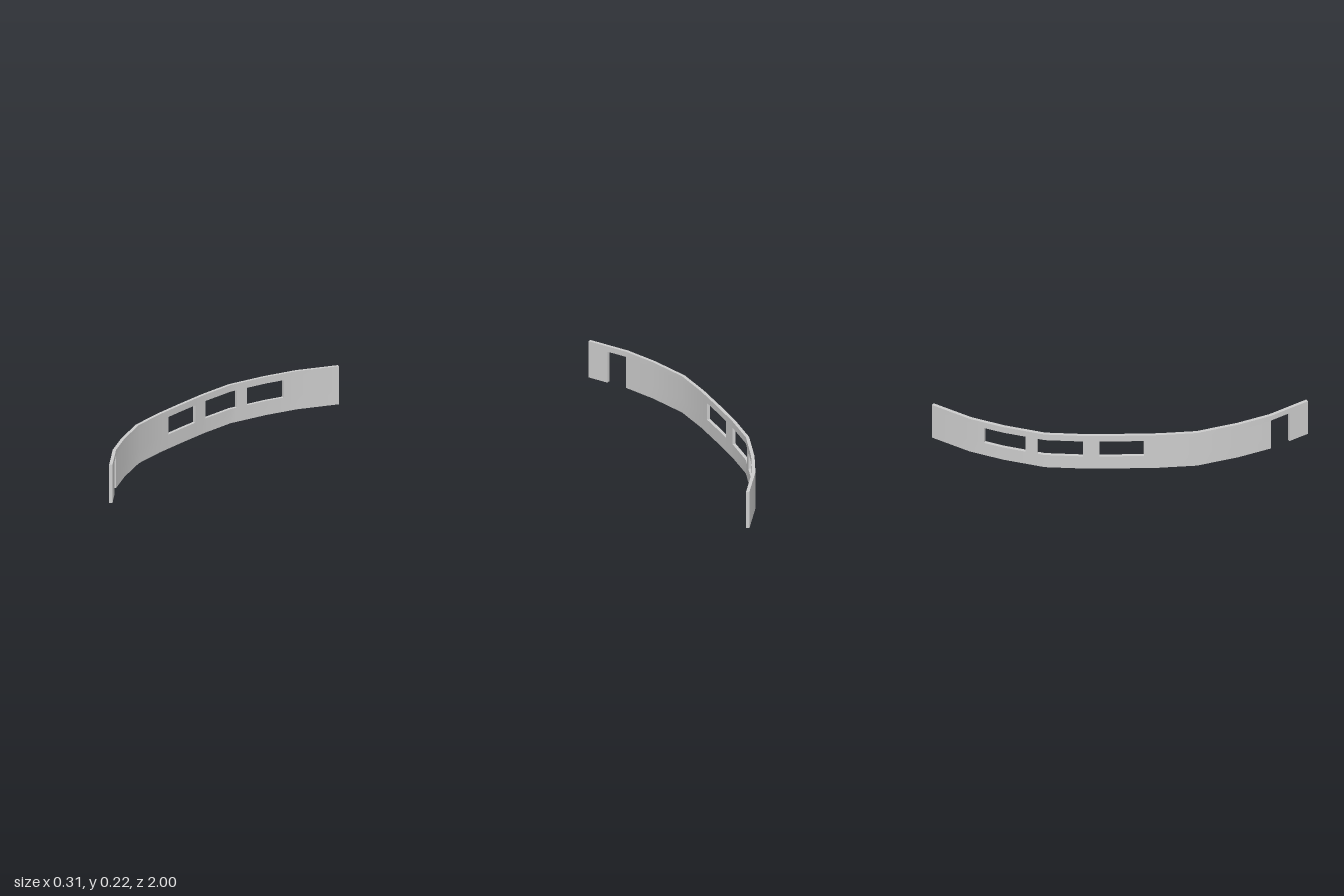
import * as THREE from 'three';
import { toCreasedNormals } from 'three/addons/utils/BufferGeometryUtils.js';

const THICK = 0.018;
// Half plan of the outer face as [x, z], mirrored in z
const HALF = [[-0.153, 0.2], [-0.137, 0.405], [-0.066, 0.625], [0.01, 0.8], [0.139, 1]];
const PLAN = [...HALF.map(([x, z]) => [x, -z]).reverse(), [-0.155, 0], ...HALF];
// Openings: z from, z to, y from, y to
const OPENINGS = [
  [0.8, 0.9, 0, 0.184],
  [-0.115, 0.122, 0.08, 0.178],
  [-0.445, -0.202, 0.08, 0.178],
  [-0.725, -0.507, 0.08, 0.178],
];
const LEVELS = [0, 0.08, 0.178, 0.184, 0.215];

// Mitred inner face, parallel to the plan
function innerPlan() {
  const normal = (a, b) => {
    const dx = b[0] - a[0], dz = b[1] - a[1], l = Math.hypot(dx, dz);
    return [dz / l, -dx / l];
  };
  return PLAN.map((p, i) => {
    const n1 = normal(PLAN[Math.max(i - 1, 0)], PLAN[Math.max(i, 1)]);
    const last = PLAN.length - 1;
    const n2 = normal(PLAN[Math.min(i, last - 1)], PLAN[Math.min(i + 1, last)]);
    const k = THICK / (1 + n1[0] * n2[0] + n1[1] * n2[1]);
    return [p[0] + (n1[0] + n2[0]) * k, p[1] + (n1[1] + n2[1]) * k];
  });
}

function wallGeometry() {
  const inner = innerPlan();
  // Stations at every bend and every opening edge
  const zs = [...new Set([...PLAN.map(p => p[1]), ...OPENINGS.flatMap(o => [o[0], o[1]])])]
    .sort((a, b) => a - b);
  const stations = zs.map(z => {
    let i = 0;
    while (i < PLAN.length - 2 && PLAN[i + 1][1] < z) i++;
    const t = (z - PLAN[i][1]) / (PLAN[i + 1][1] - PLAN[i][1]);
    const mix = line => [0, 1].map(k => line[i][k] + (line[i + 1][k] - line[i][k]) * t);
    return { out: mix(PLAN), inn: mix(inner) };
  });

  const solid = (i, j) => {
    if (i < 0 || j < 0 || i >= zs.length - 1 || j >= LEVELS.length - 1) return false;
    const z = (zs[i] + zs[i + 1]) / 2, y = (LEVELS[j] + LEVELS[j + 1]) / 2;
    return !OPENINGS.some(o => z > o[0] && z < o[1] && y > o[2] && y < o[3]);
  };

  const pos = [];
  const quad = (a, b, c, d) => pos.push(...a, ...b, ...c, ...a, ...c, ...d);
  for (let i = 0; i < zs.length - 1; i++) {
    for (let j = 0; j < LEVELS.length - 1; j++) {
      if (!solid(i, j)) continue;
      const v = (s, side, l) => {
        const p = stations[i + s][side];
        return [p[0], LEVELS[j + l], p[1]];
      };
      const o = (s, l) => v(s, 'out', l), n = (s, l) => v(s, 'inn', l);
      // Outer and inner faces
      quad(o(0, 0), o(1, 0), o(1, 1), o(0, 1));
      quad(n(1, 0), n(0, 0), n(0, 1), n(1, 1));
      // Rims and reveals wherever the wall stops
      if (!solid(i, j + 1)) quad(o(0, 1), o(1, 1), n(1, 1), n(0, 1));
      if (!solid(i, j - 1)) quad(o(1, 0), o(0, 0), n(0, 0), n(1, 0));
      if (!solid(i + 1, j)) quad(o(1, 0), n(1, 0), n(1, 1), o(1, 1));
      if (!solid(i - 1, j)) quad(n(0, 0), o(0, 0), o(0, 1), n(0, 1));
    }
  }
  const g = new THREE.BufferGeometry();
  g.setAttribute('position', new THREE.Float32BufferAttribute(pos, 3));
  return toCreasedNormals(g, 0.6);
}

export function createModel() {
  const group = new THREE.Group();
  group.name = 'curvedWall';
  const wall = new THREE.Mesh(wallGeometry(), new THREE.MeshStandardMaterial({ color: 0xcccccc }));
  wall.name = 'wallWithDoorAndWindows';
  group.add(wall);
  return group;
}
